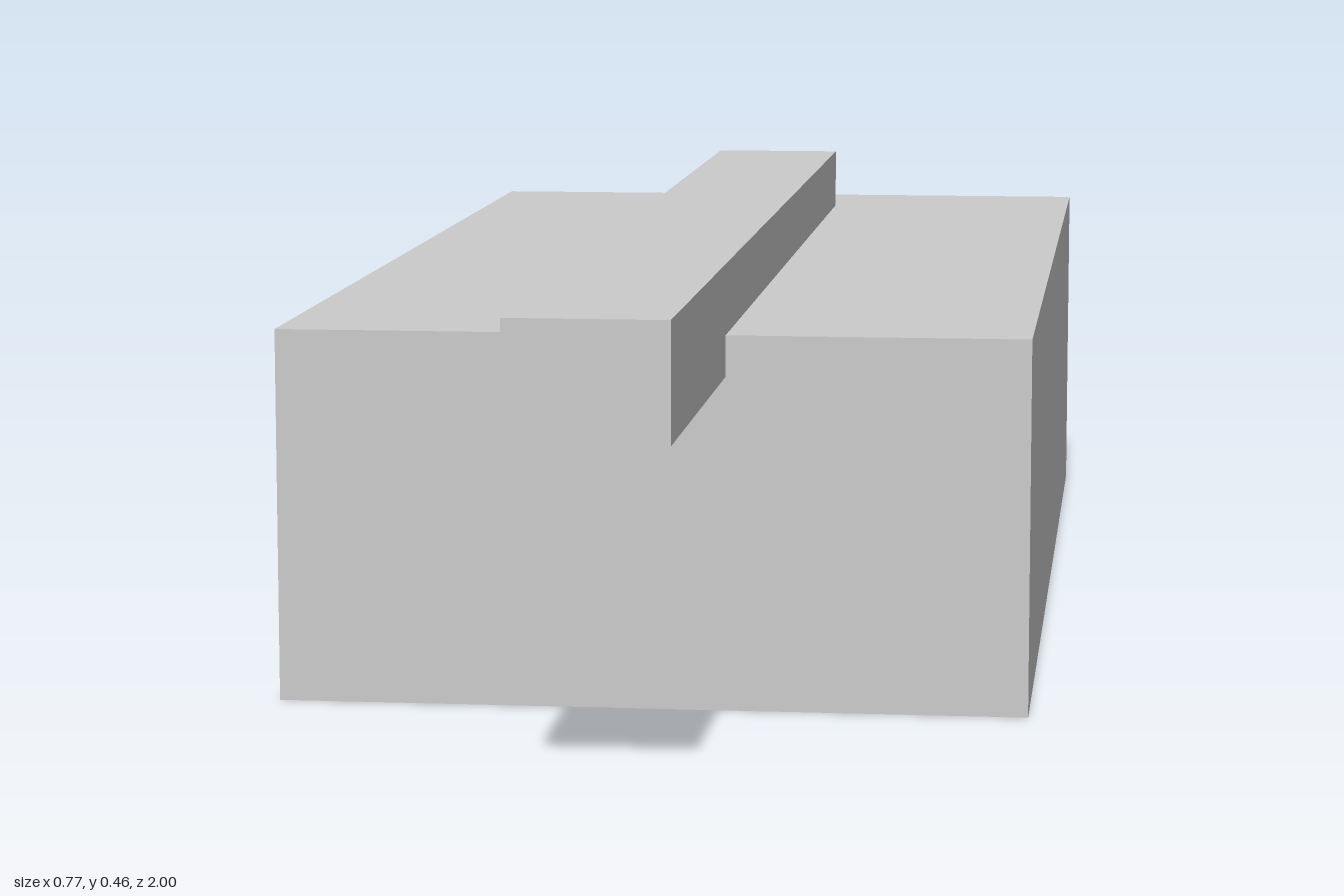
import * as THREE from 'three';

const material = new THREE.MeshStandardMaterial({ color: 0xcccccc, flatShading: true });

// Box spanning the given y and z ranges, centred on x = 0
function block(name, width, [y0, y1], [z0, z1]) {
  const mesh = new THREE.Mesh(new THREE.BoxGeometry(width, y1 - y0, z1 - z0), material);
  mesh.name = name;
  mesh.position.set(0, (y0 + y1) / 2, (z0 + z1) / 2);
  return mesh;
}

export function createModel() {
  const group = new THREE.Group();
  group.name = 'blockWithBar';

  // Main body, resting on the ground
  group.add(block('body', 0.769, [0, 0.385], [-1, 0.538]));

  // Long bar sunk into the top and overhanging the front
  group.add(block('bar', 0.154, [0.343, 0.457], [-0.846, 1]));

  return group;
}
